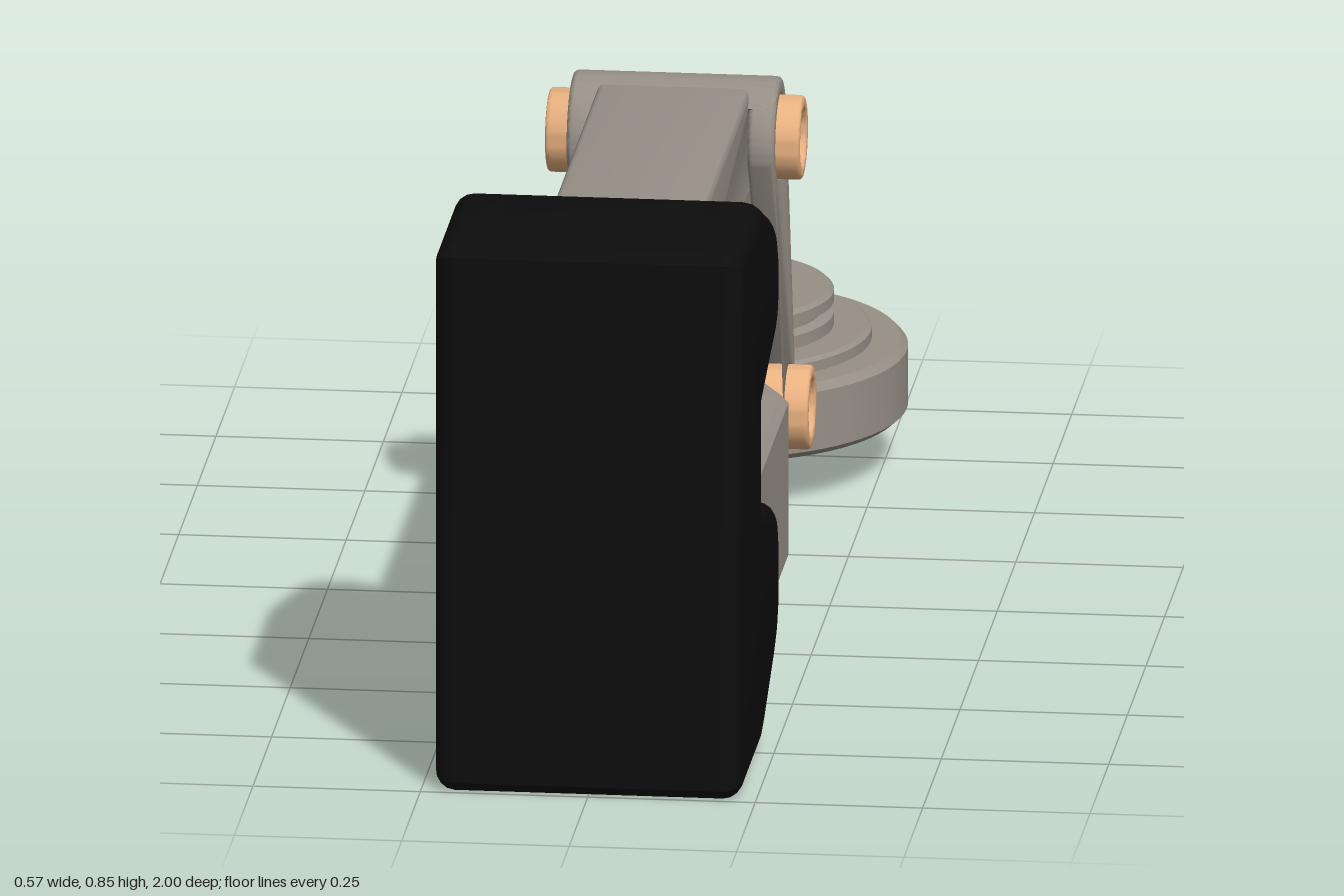
import * as THREE from 'three';
import { toCreasedNormals } from 'three/addons/utils/BufferGeometryUtils.js';

const mat = (color) => new THREE.MeshStandardMaterial({ color });
const poly = (pts) => new THREE.Shape(pts.map(([z, y]) => new THREE.Vector2(z, y)));

function hole(shape, z, y, r) {
  shape.holes.push(new THREE.Path().absarc(z, y, r, 0, Math.PI * 2, true));
  return shape;
}

// Extrude a side profile (z, y) between x0 and x1, with rounded edges inside that span
function sideSolid(shape, x0, x1, bevel = 0, segments = 3) {
  const geo = new THREE.ExtrudeGeometry(shape, {
    depth: x1 - x0 - 2 * bevel, curveSegments: 24, bevelEnabled: bevel > 0,
    bevelSize: bevel, bevelThickness: bevel, bevelOffset: -bevel, bevelSegments: segments,
  });
  geo.rotateY(-Math.PI / 2).translate(x1 - bevel, 0, 0);
  return toCreasedNormals(geo, 0.55);
}

// Bar with round ends, drilled at its back end
function barShape(zFront, zBack, y, r, holeR) {
  const s = new THREE.Shape();
  s.absarc(zFront - r, y, r, -Math.PI / 2, Math.PI / 2, false);
  s.absarc(zBack, y, r, Math.PI / 2, Math.PI * 1.5, false);
  return hole(s, zBack, y, holeR);
}

// Loft chamfered rectangles [z, halfWidth, yLow, yHigh], listed front to back
function loft(sections, c) {
  const rings = sections.map(([z, w, a, b]) => [
    [w, a + c], [w, b - c], [w - c, b], [c - w, b],
    [-w, b - c], [-w, a + c], [c - w, a], [w - c, a],
  ].map(([x, y]) => [x, y, z]));
  const pos = [];
  const tri = (...p) => p.forEach((v) => pos.push(...v));
  for (let k = 0; k < rings.length - 1; k++) {
    const A = rings[k], B = rings[k + 1];
    for (let i = 0; i < 8; i++) {
      const j = (i + 1) % 8;
      tri(A[i], B[i], A[j]);
      tri(A[j], B[i], B[j]);
    }
  }
  const F = rings[0], K = rings[rings.length - 1];
  for (let i = 1; i < 7; i++) {
    tri(F[0], F[i], F[i + 1]);
    tri(K[0], K[i + 1], K[i]);
  }
  const geo = new THREE.BufferGeometry();
  geo.setAttribute('position', new THREE.Float32BufferAttribute(pos, 3));
  geo.computeVertexNormals();
  return geo;
}

export function createModel() {
  const root = new THREE.Group();
  const black = mat(0x0d0d0d), grey = mat(0x968f86), copper = mat(0xe8b080);
  const add = (name, geo, material, parent = root) => {
    const m = new THREE.Mesh(geo, material);
    m.name = name;
    parent.add(m);
    return m;
  };
  const topPin = [-0.19, 0.667], lowPin = [-0.305, 0.213];
  const pinR = 0.063, boreR = 0.042;

  // Mounting base: two forked cheeks joined by a solid core
  const base = new THREE.Group();
  base.name = 'mountingBase';
  root.add(base);
  const cheek = poly([
    [0.985, 0], [0.72, 0], [0.69, 0.01], [0.55, 0.075], [0.505, 0.105], [0.48, 0.15],
    [0.48, 0.26], [0.497, 0.3], [0.53, 0.322], [0.715, 0.37], [0.715, 0.52], [0.53, 0.57],
    [0.497, 0.59], [0.48, 0.625], [0.48, 0.7], [0.505, 0.745], [0.55, 0.775], [0.69, 0.835],
    [0.72, 0.845], [0.985, 0.845], [1, 0.83], [1, 0.015],
  ]);
  for (const s of [1, -1]) {
    const [a, b] = s > 0 ? [0.115, 0.23] : [-0.23, -0.115];
    add(s > 0 ? 'leftCheek' : 'rightCheek', sideSolid(cheek, a, b, 0.03, 4), black, base);
  }
  const core = poly([
    [0.985, 0], [0.72, 0], [0.685, 0.012], [0.685, 0.362], [0.715, 0.37], [0.715, 0.52],
    [0.685, 0.528], [0.685, 0.833], [0.72, 0.845], [0.985, 0.845], [1, 0.83], [1, 0.015],
  ]);
  add('baseCore', sideSolid(core, -0.2, 0.2), black, base);

  // Parallel bars
  add('upperBar', sideSolid(barShape(0.65, ...topPin, 0.083, 0.06), -0.114, 0.114, 0.01), grey);
  add('lowerBar', sideSolid(barShape(0.65, ...lowPin, 0.083, 0.06), -0.114, 0.114, 0.01), grey);

  // Tapered housing around the lower bar
  add('barHousing', loft([
    [0.43, 0.182, 0.078, 0.322], [0.422, 0.19, 0.07, 0.33],
    [0.015, 0.19, 0.07, 0.33], [-0.13, 0.117, 0.137, 0.326],
  ], 0.012), grey);

  // Swing link: a channel of two side plates and a wrapped back plate
  const link = new THREE.Group();
  link.name = 'swingLink';
  link.position.set(0, topPin[1], topPin[0]);
  link.rotation.x = 0.2476;
  root.add(link);
  const R = 0.09, pinGap = Math.hypot(topPin[0] - lowPin[0], topPin[1] - lowPin[1]);
  const plate = new THREE.Shape();
  plate.moveTo(0.087, -0.635);
  plate.absarc(0, 0, R, 0, Math.PI, false);
  plate.lineTo(-R, -0.54);
  hole(plate, 0, 0, 0.06);
  hole(plate, 0, -pinGap, 0.06);
  for (const s of [1, -1]) {
    const [a, b] = s > 0 ? [0.115, 0.155] : [-0.155, -0.115];
    add(s > 0 ? 'leftLinkPlate' : 'rightLinkPlate', sideSolid(plate, a, b, 0.008), grey, link);
  }
  const wrap = new THREE.Shape();
  wrap.absarc(0, 0, R, 1.0, Math.PI, false);
  wrap.lineTo(-R, -0.49);
  wrap.lineTo(-R + 0.022, -0.49);
  wrap.absarc(0, 0, R - 0.022, Math.PI, 1.0, true);
  add('linkBackPlate', sideSolid(wrap, -0.147, 0.147), grey, link);

  // Hollow pivot bushings
  for (const [name, [z, y]] of [['upperBushing', topPin], ['lowerBushing', lowPin]]) {
    const ring = new THREE.Shape().absarc(0, 0, pinR, 0, Math.PI * 2, false);
    const geo = sideSolid(hole(ring, 0, 0, boreR), -0.19, 0.19, 0.006);
    add(name, geo, copper).position.set(0, y, z);
  }

  // Short arm from the link to the round mount
  add('mountArm', sideSolid(poly([
    [-0.3, 0.075], [-0.5, 0.075], [-0.5, 0.19], [-0.385, 0.19], [-0.36, 0.15], [-0.31, 0.13],
  ]), -0.114, 0.114), grey);

  // Stepped round mount with a centre hole
  const profile = [
    [0.073, 0.07], [0.235, 0.07], [0.24, 0.08], [0.275, 0.08], [0.286, 0.09], [0.286, 0.18],
    [0.275, 0.192], [0.232, 0.192], [0.232, 0.208], [0.225, 0.213], [0.176, 0.213],
    [0.176, 0.232], [0.16, 0.237], [0.16, 0.246], [0.176, 0.25], [0.176, 0.266],
    [0.17, 0.272], [0.073, 0.272], [0.073, 0.07],
  ].map(([r, y]) => new THREE.Vector2(r, y));
  const mount = toCreasedNormals(new THREE.LatheGeometry(profile, 64), 0.4);
  add('roundMount', mount, grey).position.z = -0.714;

  return root;
}
